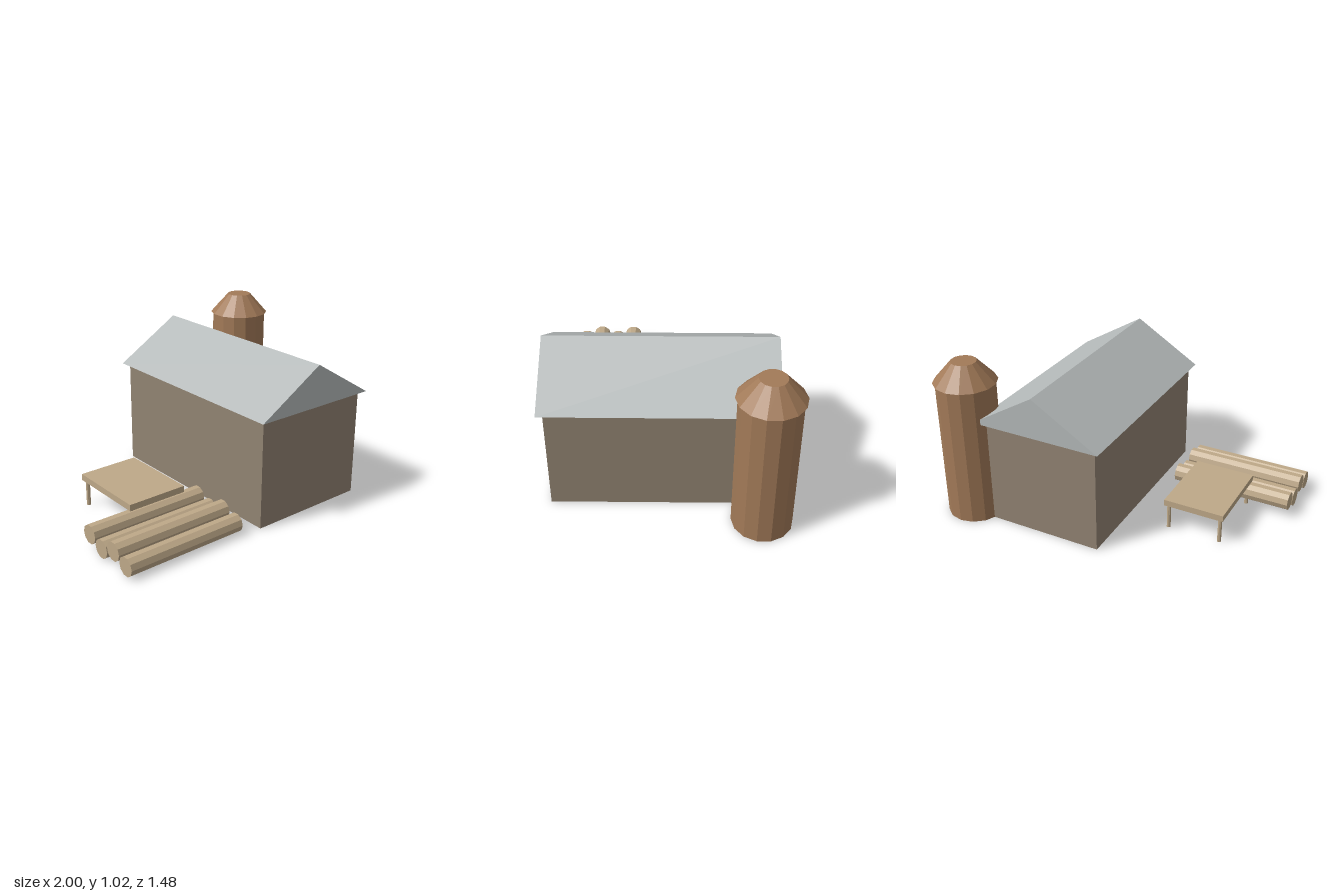
import * as THREE from 'three';

const material = (name, color) => {
  const m = new THREE.MeshStandardMaterial({ color, flatShading: true });
  m.name = name;
  return m;
};

export function createModel() {
  const wall = material('wall brown', 0x918372);
  const roofGrey = material('roof grey', 0xb4b9b9);
  const rust = material('silo copper', 0xa27a58);
  const wood = material('pale wood', 0xbea888);

  const model = new THREE.Group();
  model.name = 'farmyard';
  const add = (name, geometry, mat, x, y, z, parent = model) => {
    const mesh = new THREE.Mesh(geometry, mat);
    mesh.name = name;
    mesh.position.set(x, y, z);
    parent.add(mesh);
    return mesh;
  };
  const group = (name) => {
    const g = new THREE.Group();
    g.name = name;
    model.add(g);
    return g;
  };

  // Barn: plain box with an overhanging gable prism
  const barn = group('barn');
  add('barnWalls', new THREE.BoxGeometry(0.78, 0.675, 1.3), wall, 0.29, 0.3375, 0.05, barn);
  const gable = new THREE.Shape([
    new THREE.Vector2(-0.425, 0), new THREE.Vector2(0.425, 0), new THREE.Vector2(0, 0.257),
  ]);
  add('barnRoof', new THREE.ExtrudeGeometry(gable, { depth: 1.37, bevelEnabled: false }),
    roofGrey, 0.29, 0.675, -0.635, barn);

  // Silo: fourteen-sided tower with a truncated cone cap
  const silo = group('silo');
  add('siloBody', new THREE.CylinderGeometry(0.181, 0.181, 0.895, 14), rust, 0.808, 0.4475, -0.545, silo);
  add('siloCap', new THREE.CylinderGeometry(0.079, 0.195, 0.13, 14), rust, 0.808, 0.96, -0.545, silo);

  // Logs: four in a row, every second one raised
  const logs = group('logPile');
  for (let i = 0; i < 4; i++) {
    const log = add('log', new THREE.CylinderGeometry(0.058, 0.058, 0.77, 10), wood,
      -0.615, i % 2 ? 0.098 : 0.06, 0.632 - i * 0.1163, logs);
    log.rotation.z = Math.PI / 2;
  }

  // Table: slab on four round legs
  const table = group('table');
  add('tableTop', new THREE.BoxGeometry(0.385, 0.04, 0.515), wood, -0.548, 0.183, 0.0475, table);
  for (const sx of [-1, 1]) for (const sz of [-1, 1]) {
    add('tableLeg', new THREE.CylinderGeometry(0.013, 0.013, 0.165, 8), wood,
      -0.548 + sx * 0.168, 0.0825, 0.0475 + sz * 0.233, table);
  }

  return model;
}
